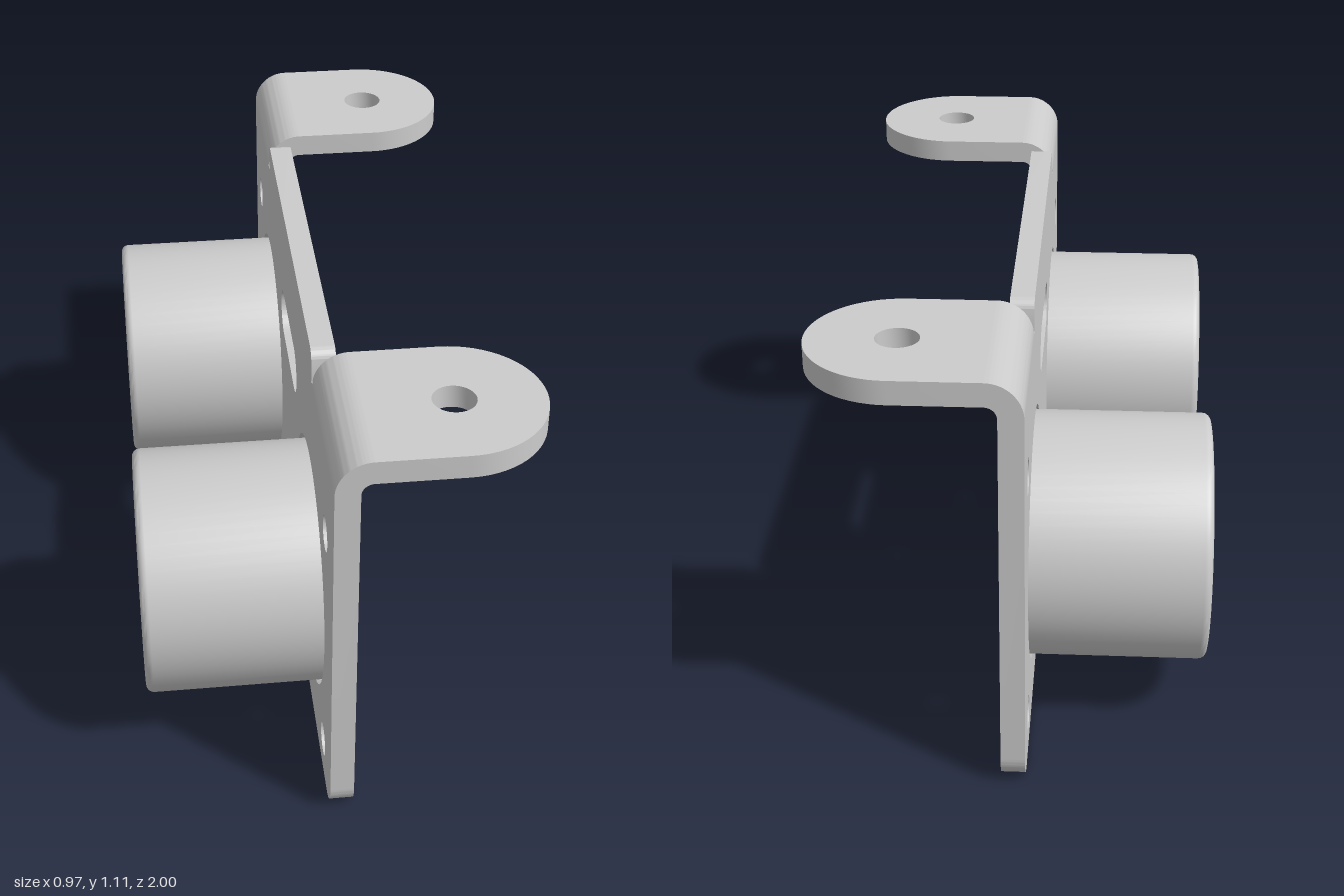
import * as THREE from 'three';
import { toCreasedNormals } from 'three/addons/utils/BufferGeometryUtils.js';

const T = 0.06; // sheet thickness
const FACE = 0.02; // x of the sheet's front face

function extrude(shape, depth) {
  const g = new THREE.ExtrudeGeometry(shape, { depth, bevelEnabled: false, curveSegments: 16 });
  return toCreasedNormals(g, 0.5);
}

function circleHole(x, y, r) {
  return new THREE.Path().absarc(x, y, r, 0, Math.PI * 2, true);
}

export function createModel() {
  const group = new THREE.Group();
  const material = new THREE.MeshStandardMaterial({ color: 0xcccccc });
  const add = (name, geometry, parent = group) => {
    const mesh = new THREE.Mesh(geometry, material);
    mesh.name = name;
    parent.add(mesh);
    return mesh;
  };

  // Upright plate, outlined in (z, y), with relief notches beside the bends
  const s = new THREE.Shape();
  const R = 0.08, c = 0.03;
  s.moveTo(-1 + R, 0);
  s.lineTo(1 - R, 0);
  s.absarc(1 - R, R, R, -Math.PI / 2, 0, false);
  s.lineTo(1, 1.02);
  s.lineTo(0.545, 1.02);
  s.lineTo(0.545, 1.1 - c);
  s.absarc(0.545 - c, 1.1 - c, c, 0, Math.PI / 2, false);
  s.lineTo(-0.545 + c, 1.1);
  s.absarc(-0.545 + c, 1.1 - c, c, Math.PI / 2, Math.PI, false);
  s.lineTo(-0.545, 1.02);
  s.lineTo(-1, 1.02);
  s.lineTo(-1, R);
  s.absarc(-1 + R, R, R, Math.PI, Math.PI * 1.5, false);

  // Screw holes, cup openings and central slot
  for (const side of [-1, 1]) {
    s.holes.push(circleHole(side * 0.84, 0.1, 0.045));
    s.holes.push(circleHole(side * 0.84, 0.785, 0.045));
    s.holes.push(new THREE.Path(circleHole(side * 0.522, 0.44, 0.328).getPoints(32)));
  }
  const slot = new THREE.Path();
  slot.absarc(0.137, 0.78, 0.065, Math.PI / 2, -Math.PI / 2, true);
  slot.absarc(-0.137, 0.78, 0.065, -Math.PI / 2, Math.PI / 2, true);
  s.holes.push(slot);
  const plate = add('plate', extrude(s, T));
  plate.rotation.y = -Math.PI / 2;
  plate.position.x = FACE;

  // Quarter bend joining plate and tab
  const bendShape = new THREE.Shape();
  bendShape.absarc(0.05, 1.02, 0.09, Math.PI, Math.PI / 2, true);
  bendShape.absarc(0.05, 1.02, 0.03, Math.PI / 2, Math.PI, false);
  const bendGeometry = extrude(bendShape, 0.435);

  // Round-ended tab with a screw hole, outlined in (x, z)
  const w = 0.2175;
  const tabShape = new THREE.Shape();
  tabShape.moveTo(0.05, -w);
  tabShape.lineTo(0.263, -w);
  tabShape.absarc(0.263, 0, w, -Math.PI / 2, Math.PI / 2, false);
  tabShape.lineTo(0.05, w);
  tabShape.holes.push(circleHole(0.263, 0, 0.053));
  const tabGeometry = extrude(tabShape, T);

  // Cup profile: shallow recess at each end, rounded outer rim
  const profile = [[0, 0.02], [0.26, 0.02], [0.26, -FACE], [0.315, -FACE]];
  for (let i = 0; i <= 4; i++) {
    const a = (i / 4) * Math.PI / 2;
    profile.push([0.295 + 0.02 * Math.cos(a), 0.465 + 0.02 * Math.sin(a)]);
  }
  profile.push([0.26, 0.485], [0.26, 0.475], [0, 0.475]);
  const cupGeometry = toCreasedNormals(
    new THREE.LatheGeometry(profile.map(([r, y]) => new THREE.Vector2(r, y)), 64), 0.6);

  for (const side of [-1, 1]) {
    const name = side > 0 ? 'front' : 'rear';
    const bracket = new THREE.Group();
    bracket.name = name + 'MountingTab';
    bracket.position.z = side * 0.7825;
    group.add(bracket);
    add('bend', bendGeometry, bracket).position.z = -w;
    const tab = add('tab', tabGeometry, bracket);
    tab.rotation.x = Math.PI / 2;
    tab.position.y = 1.11;

    const cup = add(name + 'Cup', cupGeometry);
    cup.rotation.z = Math.PI / 2;
    cup.position.set(0, 0.44, side * 0.522);
  }
  return group;
}
